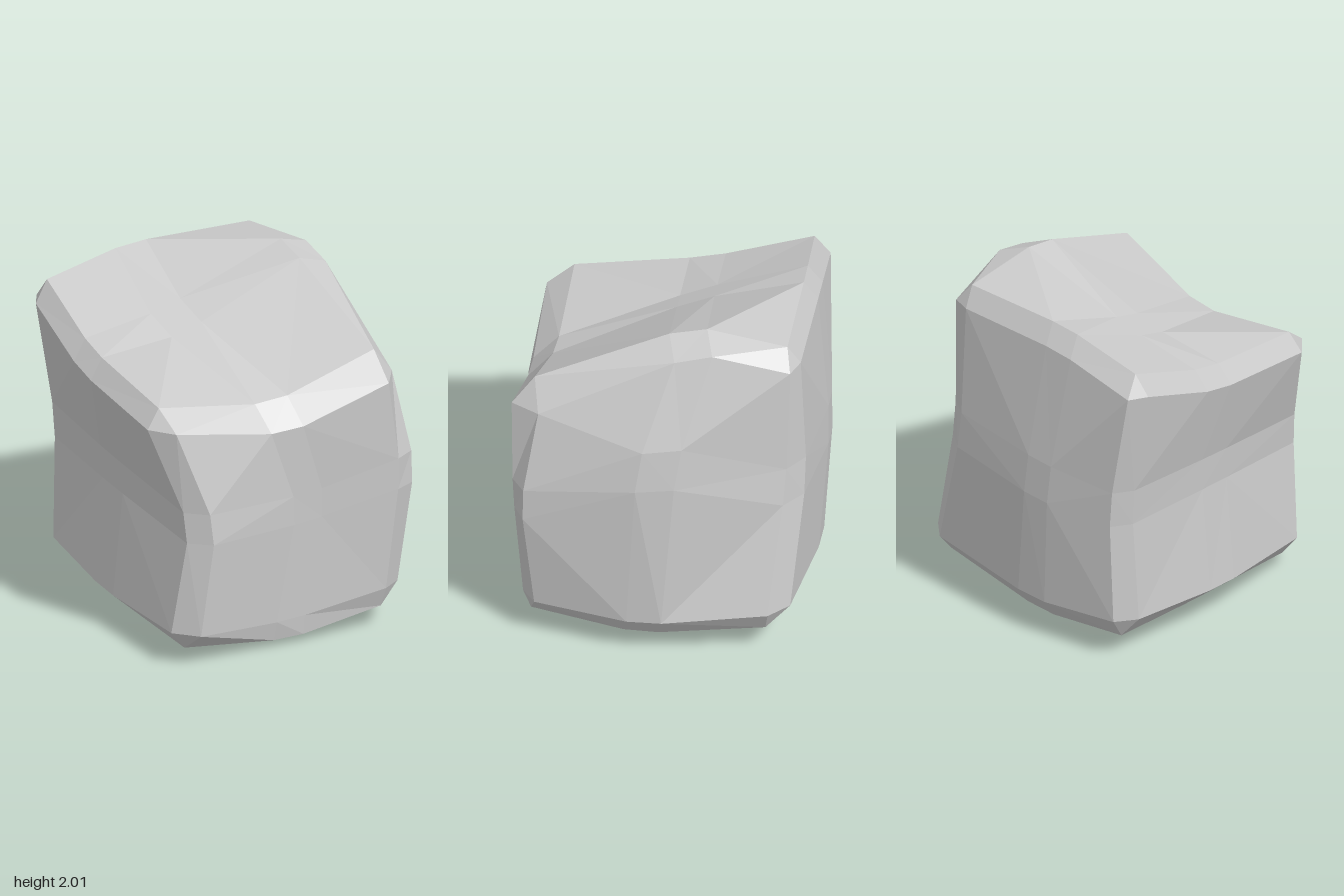
import * as THREE from 'three';

// Uncut block: three layers (bottom, middle, top), each a loop of rows
// running back to front with points from -x to +x
const BOTTOM = [
  [[-.54, .17, -.925], [.28, .12, -.81], [.9, .13, -.53]],
  [[-.82, .1, -.12], [.12, .005, -.05], [.735, .045, .14]],
  [[-.925, .12, .56], [-.17, .08, .74], [.68, .09, .84]],
];
const MIDDLE = [
  [[-.65, 1.06, -.76], [.2, 1.28, -.815], [.96, .955, -.575]],
  [[-.88, 1, -.05], [0, 1, 0], [.785, .84, .06]],
  [[-.945, .95, .54], [-.17, .92, .69], [.715, .85, .79]],
];
const TOP = [
  [[-.63, 1.93, -.73], [-.02, 1.985, -.665], [.96, 1.69, -.51]],
  [[-.84, 1.915, .06], [-.17, 1.71, .22], [.77, 1.475, .195]],
  [[-.97, 1.8, .645], [-.3, 1.62, .79], [.585, 1.54, .925]],
];
const LAYERS = [BOTTOM, MIDDLE, TOP];

// Bevel size along x, y, z, filed under the place on the block (0, 1 or 2 per axis)
const BEVELS = {
  // corners
  '0,0,0': [.14, .135, .083], '2,0,0': [.045, .12, .12],
  '0,0,2': [.095, .125, .11], '2,0,2': [.145, .115, .095],
  '0,2,0': [.075, .115, .1], '2,2,0': [.13, .165, .13],
  '0,2,2': [.09, .125, .08], '2,2,2': [.155, .11, .08],
  // edges that are sharper or blunter than their ends
  '1,2,0': [0, .065, .185], '1,0,2': [0, .13, .17],
  '2,1,0': [.035, 0, .125], '0,1,0': [.13, 0, .1],
  '2,1,2': [.12, 0, .095], '2,0,1': [.02, .118, 0],
};

// Bevel at a place, averaged from the corners at its ends where none is filed
function bevelAt(at) {
  const filed = BEVELS[at.join()];
  if (filed) return filed;
  const ends = Object.keys(BEVELS).filter((name) => name.split(',')
    .every((n, i) => +n !== 1 && (at[i] === 1 || at[i] === +n)));
  return [0, 1, 2].map((i) => ends.reduce((sum, name) => sum + BEVELS[name][i], 0) / ends.length);
}

// Block point pulled in from the edges of the side that faces along `axis`
function sidePoint(axis, at) {
  const p = [...LAYERS[at[1]][at[2]][at[0]]];
  const bevel = bevelAt(at);
  for (let b = 0; b < 3; b++) {
    if (b !== axis) p[b] -= (at[b] - 1) * bevel[b];
  }
  return new THREE.Vector3(...p);
}

// Three points become four: the middle one splits into a narrow band
function widen([a, m, b]) {
  const step = b.clone().sub(a).multiplyScalar(0.075);
  return [a, m.clone().sub(step), m.clone().add(step), b];
}

// Place on the block, given its position along three cyclic axes
function place(axis, i, j, k) {
  const at = [0, 0, 0];
  at[axis] = i;
  at[(axis + 1) % 3] = j;
  at[(axis + 2) % 3] = k;
  return at;
}

export function createModel() {
  const positions = [];
  const centre = new THREE.Vector3(0, 1, 0);

  // Adds a triangle, wound to face away from the centre
  function addTriangle(a, b, c) {
    const normal = b.clone().sub(a).cross(c.clone().sub(a));
    const outward = normal.dot(a.clone().sub(centre)) > 0;
    for (const q of outward ? [a, b, c] : [a, c, b]) positions.push(q.x, q.y, q.z);
  }

  // Adds a quad, split along its shorter diagonal
  function addQuad(a, b, c, d) {
    if (a.distanceTo(c) < b.distanceTo(d)) {
      addTriangle(a, b, c);
      addTriangle(a, c, d);
    } else {
      addTriangle(a, b, d);
      addTriangle(b, c, d);
    }
  }

  // Six sides as 4 x 4 grids, each point filed under its place on the block
  const nodes = {};
  const key = (axis, at) => axis + ':' + at.join();
  for (let axis = 0; axis < 3; axis++) {
    for (const end of [0, 1]) {
      const rows = [0, 1, 2].map((k) => widen(
        [0, 1, 2].map((j) => sidePoint(axis, place(axis, end * 2, j, k)))));
      const grid = [0, 1, 2, 3].map((j) => widen(rows.map((r) => r[j])));
      for (let j = 0; j < 4; j++) {
        for (let k = 0; k < 4; k++) {
          nodes[key(axis, place(axis, end * 3, j, k))] = grid[j][k];
          if (j < 3 && k < 3) {
            addQuad(grid[j][k], grid[j + 1][k], grid[j + 1][k + 1], grid[j][k + 1]);
          }
        }
      }
    }
  }

  // Bevel strips along the twelve edges
  for (let a = 0; a < 3; a++) {
    const b = (a + 1) % 3, c = (a + 2) % 3;
    for (const eb of [0, 3]) for (const ec of [0, 3]) {
      const get = (axis, i) => nodes[key(axis, place(a, i, eb, ec))];
      for (let i = 0; i < 3; i++) addQuad(get(b, i), get(b, i + 1), get(c, i + 1), get(c, i));
    }
  }

  // Corner triangles
  for (const x of [0, 3]) for (const y of [0, 3]) for (const z of [0, 3]) {
    addTriangle(...[0, 1, 2].map((axis) => nodes[key(axis, [x, y, z])]));
  }

  const geometry = new THREE.BufferGeometry();
  geometry.setAttribute('position', new THREE.Float32BufferAttribute(positions, 3));
  geometry.computeVertexNormals();

  const boulder = new THREE.Mesh(
    geometry, new THREE.MeshStandardMaterial({ color: 0xcccccc, flatShading: true }));
  boulder.name = 'boulder';
  const group = new THREE.Group();
  group.name = 'rock';
  group.add(boulder);
  return group;
}
